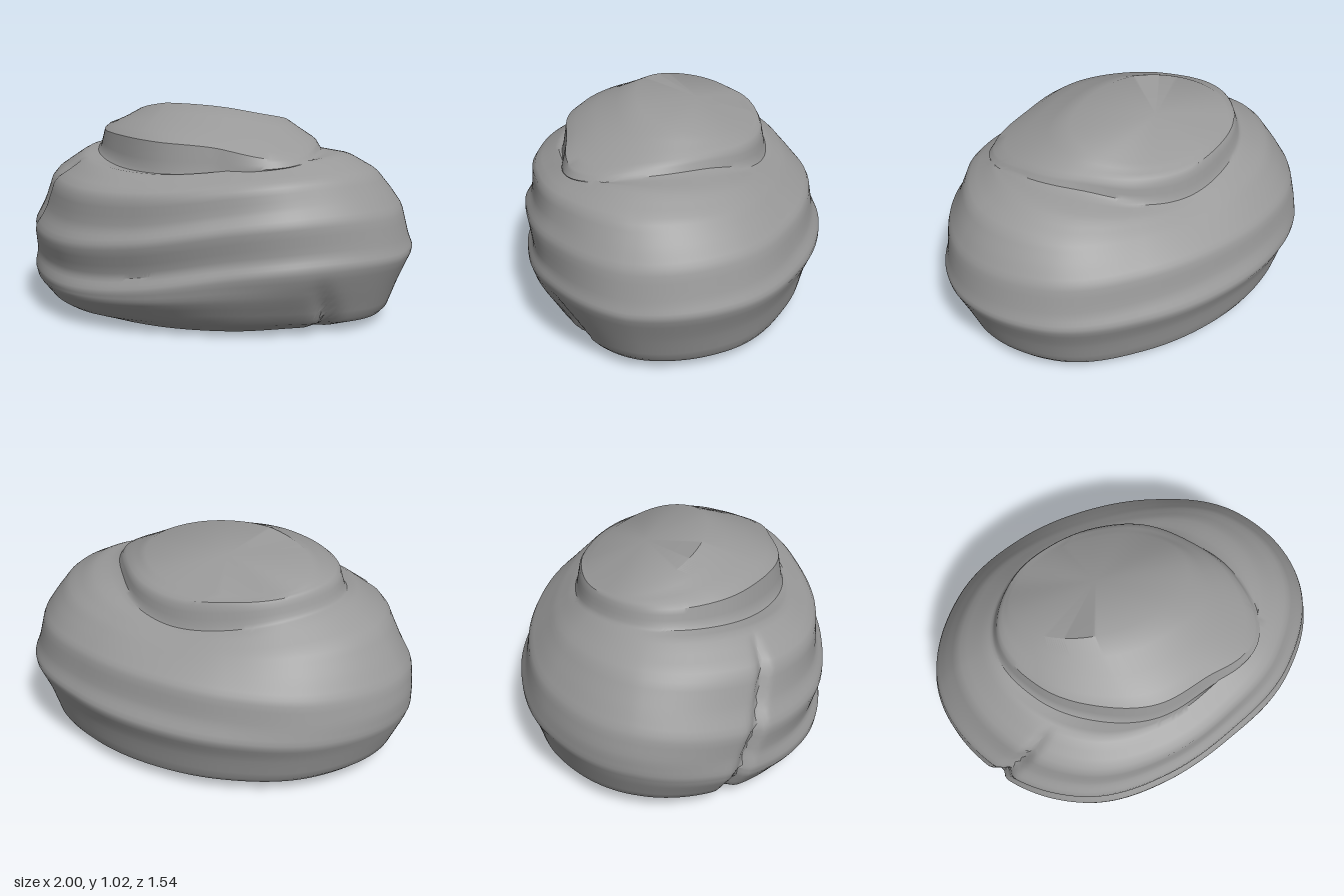
import * as THREE from 'three';
import { toCreasedNormals } from 'three/addons/utils/BufferGeometryUtils.js';

const SEGMENTS = 240;

// Plan outlines: radii every 30 degrees from +x through +z (the front)
const bodyOutline = [.99, .87, .75, .755, .85, .94, 1, .92, .81, .77, .82, .95];
const capOutline = [.58, .67, .55, .54, .54, .59, .64, .58, .5, .47, .47, .49];

// Layers from the ground up: inset and height towards +x, +z, -x and -z
const bodyLayers = [
  { inset: [.78, .76, .75, .82], y: [.02, .01, .03, .04] }, // underside edge
  { inset: [.89, .88, .92, .89], y: [.05, .06, .08, .07] },
  { inset: [.95, .99, .98, .94], y: [.20, .16, .22, .23] },
  { inset: [1.01, 1, 1, 1], y: [.34, .22, .28, .34] }, // lower ledge
  { inset: [.99, .95, 1, .94], y: [.40, .28, .37, .42] },
  { inset: [.96, 1.01, .98, .91], y: [.54, .43, .48, .55] }, // upper ledge
  { inset: [.91, .95, .92, .82], y: [.62, .50, .58, .61] },
  { inset: [.84, .94, .84, .74], y: [.72, .65, .70, .66] }, // shoulder
  { inset: [.69, .76, .69, .66], y: [.80, .73, .79, .70] },
];
// Cap foot, and a rim that dips at the model's front left
const capLayers = [
  { inset: [1], y: [.81, .77, .74, .73, .74, .78, .81, .79, .74, .72, .75, .80] },
  { inset: [.95], y: [.85, .81, .87, .89, .90, .90, .90, .88, .86, .84, .85, .86] },
];

// Smooth closed interpolation of evenly spaced values
function around(values, angle) {
  const n = values.length, t = angle / (Math.PI * 2) * n, i = Math.floor(t), f = t - i;
  const [a, b, c, d] = [-1, 0, 1, 2].map(k => values[(i + k + n) % n]);
  return b + 0.5 * f * (c - a + f * (2 * a - 5 * b + 4 * c - d + f * (3 * (b - c) + d - a)));
}

// A tall crack at front right; an undercut with a short crack low at front left
const notch = (angle, centre, width) => Math.exp(-(((angle - centre) / width) ** 2));
function carve(angle, y) {
  const tall = 0.04 * THREE.MathUtils.smoothstep(0.76 - y, 0, 0.06) * notch(angle, 2.72 - 0.4 * y, 0.035);
  const low = Math.max(0, 1 - y / 0.3);
  const undercut = 0.06 * low * notch(angle, 0.55, 0.3);
  return 1 - tall - undercut - 0.06 * low * notch(angle, 0.28 + 0.7 * y, 0.045);
}

function ring(pointAt) {
  return Array.from({ length: SEGMENTS }, (_, s) => pointAt(s / SEGMENTS * Math.PI * 2));
}

// One closed section; the middle ledges climb towards the model's left at the front
function section(outline, layer, climb) {
  return ring(a => {
    const r = around(outline, a) * around(layer.inset, a);
    const y = around(layer.y, a) + climb * Math.cos(a) * Math.max(0, Math.sin(a));
    return new THREE.Vector3(Math.cos(a) * r, y, Math.sin(a) * r);
  });
}

// Sloping plane on top of the cap, drooping at its right end
const crown = ring(a => {
  const x = -0.1 + 0.41 * Math.cos(a), z = -0.12 + 0.25 * Math.sin(a);
  return new THREE.Vector3(x, 1 + 0.32 * z - 0.1 * Math.max(0, -x - 0.2), z);
});

function boulderGeometry() {
  const sections = [
    ...bodyLayers.map((layer, i) => section(bodyOutline, layer, 0.1 * Math.sin(Math.PI * i / 8))),
    ...capLayers.map(layer => section(capOutline, layer, 0)),
    crown,
  ];

  // Bevel the ledges by cutting the corners between neighbouring sections
  const levels = [sections[0]];
  for (let i = 0; i < sections.length - 1; i++)
    for (const f of [0.12, 0.37, 0.63, 0.88])
      levels.push(sections[i].map((p, s) => p.clone().lerp(sections[i + 1][s], f)));

  const positions = [0, 0, 0], index = [];
  for (const level of levels)
    level.forEach((p, s) => {
      const k = carve(s / SEGMENTS * Math.PI * 2, p.y);
      positions.push(p.x * k, p.y, p.z * k);
    });
  const top = positions.length / 3, last = levels.length - 1;
  positions.push(-0.1, 0.965, -0.12);

  const at = (level, s) => 1 + level * SEGMENTS + s % SEGMENTS;
  for (let s = 0; s < SEGMENTS; s++) {
    index.push(0, at(0, s), at(0, s + 1));
    for (let l = 0; l < last; l++) {
      const a = at(l, s), b = at(l, s + 1), c = at(l + 1, s), d = at(l + 1, s + 1);
      index.push(a, c, b, b, c, d);
    }
    index.push(at(last, s), top, at(last, s + 1));
  }
  const geometry = new THREE.BufferGeometry();
  geometry.setAttribute('position', new THREE.Float32BufferAttribute(positions, 3));
  geometry.setIndex(index);
  return toCreasedNormals(geometry, 0.6);
}

export function createModel() {
  const stone = new THREE.MeshStandardMaterial({ color: 0x999999 });
  stone.name = 'grey stone';
  const boulder = new THREE.Mesh(boulderGeometry(), stone);
  boulder.name = 'boulder';
  const group = new THREE.Group();
  group.name = 'layered rock';
  group.add(boulder);
  return group;
}
